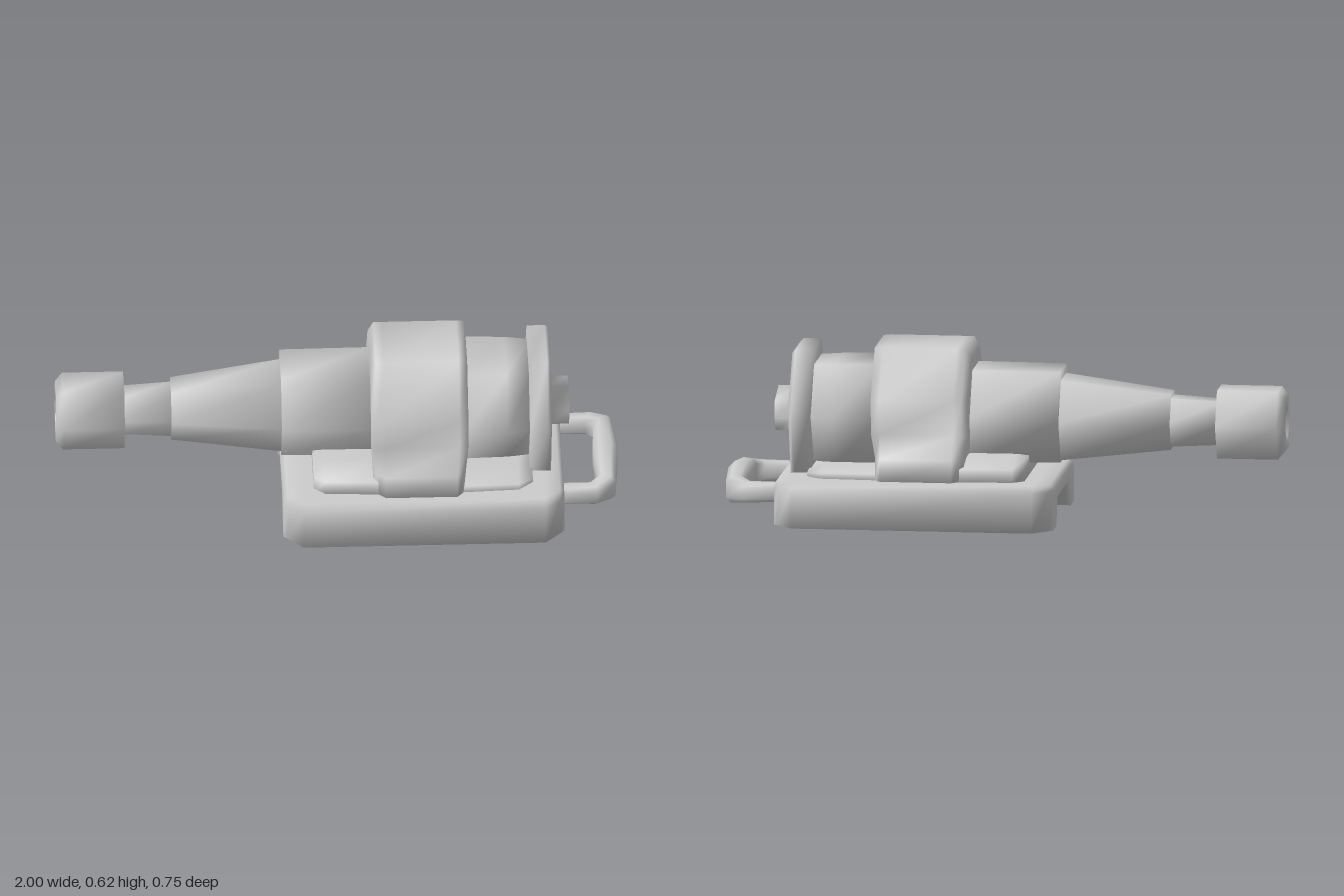
import * as THREE from 'three';

const material = new THREE.MeshStandardMaterial({ color: 0xcccccc });

// Skin a series of equal-length rings of [x, y, z]; caps are triangulated in the z-y plane.
function loft(name, rings, capped = true) {
  const n = rings[0].length;
  const index = [];
  for (let i = 0; i < rings.length - 1; i++) {
    for (let j = 0; j < n; j++) {
      const a = i * n + j, b = i * n + (j + 1) % n;
      index.push(a, a + n, b + n, a, b + n, b);
    }
  }
  if (capped) {
    const cap = ring => THREE.ShapeUtils.triangulateShape(ring.map(p => new THREE.Vector2(p[2], p[1])), []);
    const last = (rings.length - 1) * n;
    for (const [a, b, c] of cap(rings[0])) index.push(a, b, c);
    for (const [a, b, c] of cap(rings[rings.length - 1])) index.push(last + a, last + c, last + b);
  }
  const geometry = new THREE.BufferGeometry();
  geometry.setAttribute('position', new THREE.Float32BufferAttribute(rings.flat(2), 3));
  geometry.setIndex(index);
  geometry.computeVertexNormals();
  const mesh = new THREE.Mesh(geometry, material);
  mesh.name = name;
  return mesh;
}

// Mirrored section at x from one half, listed bottom to top as [z, y].
const section = (x, half) => [
  ...half.map(([z, y]) => [x, y, z]),
  ...[...half].reverse().map(([z, y]) => [x, y, -z]),
];

// Hexagon with flat top and bottom.
const hex = (x, bottom, top, rz) => section(x, [[rz * 0.52, bottom], [rz, (bottom + top) / 2], [rz * 0.52, top]]);

// Hexagon of radius r centred on the bore axis.
const boreHex = (x, r) => hex(x, 0.352 - r, 0.352 + r, r);

export function createModel() {
  const model = new THREE.Group();
  model.name = 'cannon';

  // Sled base: two skids joined by a deck, with chamfered corners
  const baseRing = (x, w, top) => section(x, [
    [0.17, 0.1], [0.21, 0], [w, 0], [w, top - 0.02], [w - 0.035, top],
  ]);
  model.add(loft('sledBase', [
    baseRing(-0.2, 0.305, 0.145), baseRing(-0.185, 0.32, 0.16), baseRing(-0.13, 0.377, 0.165),
    baseRing(0.73, 0.377, 0.165), baseRing(0.785, 0.32, 0.16), baseRing(0.8, 0.305, 0.145),
  ]));

  // Mounting pad on the deck, taller under the barrel
  const padRing = (x, w, top) => section(x, [[w, 0.15], [w - 0.01, top - (top - 0.165) * 0.4], [w * 0.6, top]]);
  model.add(loft('mountingPad', [
    padRing(-0.09, 0.25, 0.235), padRing(-0.05, 0.285, 0.24), padRing(0.13, 0.295, 0.24),
    padRing(0.44, 0.295, 0.2), padRing(0.64, 0.285, 0.197), padRing(0.69, 0.24, 0.185),
  ]));

  // Central housing with flared feet that are shorter than its top
  const housingRing = (x, footX, foot, k, top) => section(x, [
    [foot, 0.15], [foot - 0.013, 0.242], [0.238 * k, 0.32], [0.255 * k, 0.445], [0.13 * k, top],
  ]).map(([px, y, z]) => [y < 0.3 ? footX : px, y, z]);
  model.add(loft('housing', [
    housingRing(0.115, 0.125, 0.275, 0.97, 0.585), housingRing(0.135, 0.14, 0.295, 1, 0.618),
    housingRing(0.165, 0.165, 0.32, 1, 0.618), housingRing(0.43, 0.42, 0.32, 1, 0.618),
    housingRing(0.46, 0.44, 0.295, 1, 0.615),
  ]));

  // Breech neck
  model.add(loft('breechNeck', [hex(0.44, 0.19, 0.553, 0.238), hex(0.6, 0.195, 0.55, 0.228), hex(0.69, 0.2, 0.545, 0.21)]));

  // End plate drawn out into the knob, its foot sunk into the deck
  const plateRing = (x, inset) => section(x, [[0.16, 0.155], [0.257 - inset, 0.4], [0.115, 0.6 - inset]]);
  const knobOutline = [[0.07, 0.3], [0.085, 0.37], [0.04, 0.443], [-0.08, 0.405], [-0.08, 0.345], [-0.055, 0.296]];
  const knobRing = x => knobOutline.map(([z, y]) => [x, y, z]);
  model.add(loft('endPlateAndKnob', [
    plateRing(0.68, 0), plateRing(0.745, 0), plateRing(0.757, 0.012), knobRing(0.76), knobRing(0.825),
  ]));

  // Barrel: sleeve, tapered tube, thin neck
  model.add(loft('barrelSleeve', [hex(-0.2, 0.208, 0.533, 0.182), hex(0.13, 0.2, 0.535, 0.182)]));
  model.add(loft('taperedBarrel', [hex(-0.59, 0.255, 0.453, 0.1), hex(-0.19, 0.213, 0.503, 0.155)]));
  model.add(loft('muzzleNeck', [boreHex(-0.77, 0.077), boreHex(-0.58, 0.087)]));

  // Muzzle with an open bore
  model.add(loft('muzzle', [
    boreHex(-0.92, 0.045), boreHex(-1, 0.05), boreHex(-1, 0.095),
    boreHex(-0.975, 0.122), boreHex(-0.757, 0.122),
  ]));

  // Tow handle: stations of outer x, z, inner x, z, bottom and top
  const side = [
    [0.76, 0.25, 0.76, 0.185, 0.07, 0.135],
    [0.92, 0.25, 0.89, 0.19, 0.065, 0.138],
    [0.985, 0.2, 0.92, 0.165, 0.056, 0.152],
  ];
  const stations = [
    ...side,
    [1, 0, 0.91, 0, 0.054, 0.172],
    ...[...side].reverse().map(([ox, oz, ix, iz, b, t]) => [ox, -oz, ix, -iz, b, t]),
  ];
  // Corners of the handle's octagonal section: share of the way outwards and upwards
  const handleSection = [[0.25, 0], [0.75, 0], [1, 0.2], [1, 0.8], [0.75, 1], [0.25, 1], [0, 0.8], [0, 0.2]];
  model.add(loft('towHandle', stations.map(([ox, oz, ix, iz, b, t]) => handleSection.map(([u, v]) => [
    ix + (ox - ix) * u, b + (t - b) * v, iz + (oz - iz) * u,
  ])), false));

  return model;
}
